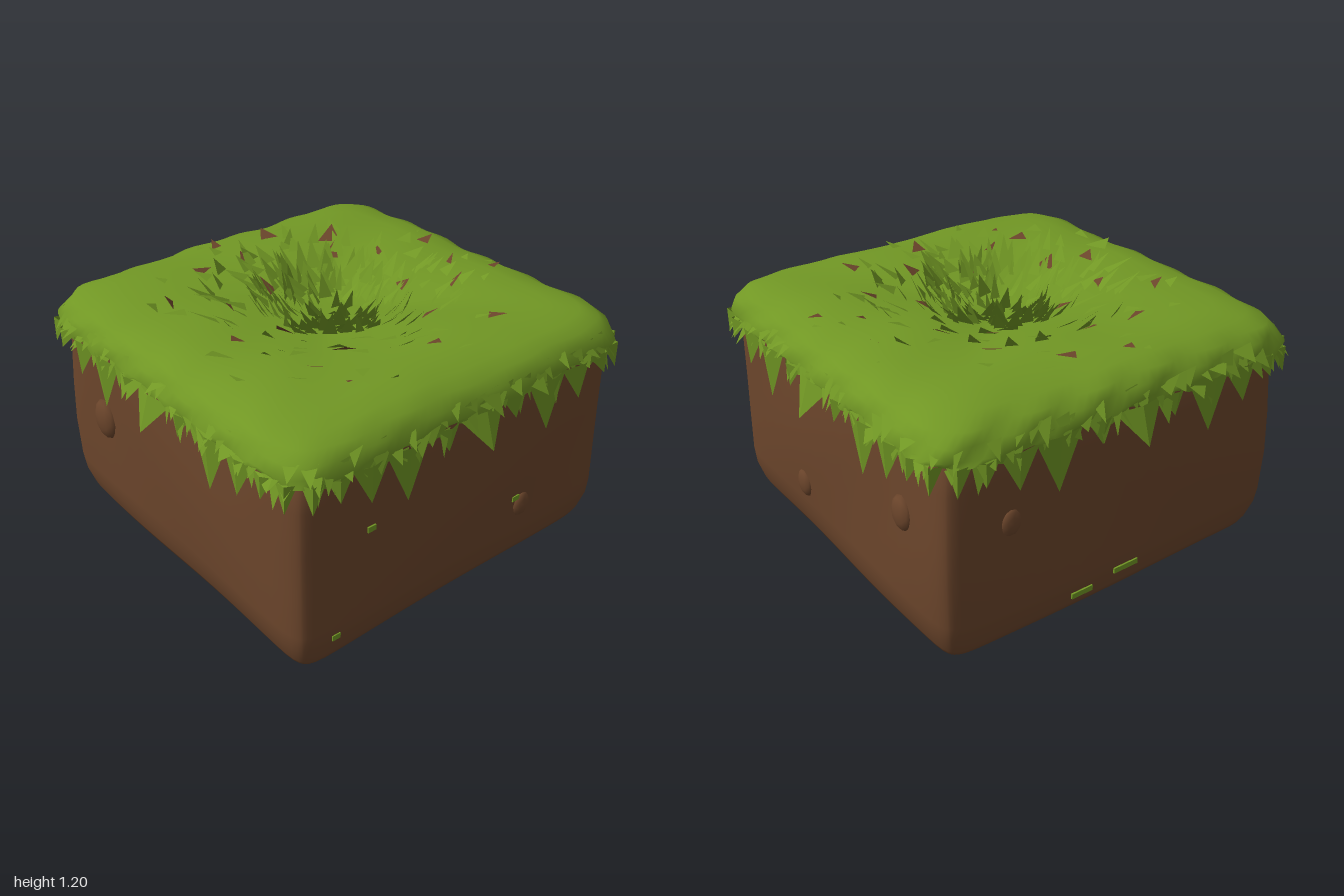
import * as THREE from 'three';

const soilMat = new THREE.MeshStandardMaterial({ name: 'soil brown', color: 0x6b452b });
const grassMat = new THREE.MeshStandardMaterial({ name: 'grass green', color: 0x719724, side: THREE.DoubleSide });
const bareMat = new THREE.MeshStandardMaterial({ name: 'bare soil brown', color: 0x6b452b, side: THREE.DoubleSide });

function seeded(seed) {
  return () => {
    seed = (seed * 1664525 + 1013904223) % 4294967296;
    return seed / 4294967296;
  };
}

// Point on one of four sides of a rounded square; t runs -1..1 along the side
function sidePoint(side, t, r, y, p) {
  const k = r / Math.pow(Math.pow(Math.abs(t), p) + 1, 1 / p);
  return new THREE.Vector3(t * k, y, k).applyAxisAngle(new THREE.Vector3(0, 1, 0), side * Math.PI / 2);
}

function ring(r, y, p, n, dense) {
  const pts = [];
  for (let s = 0; s < 4; s++) for (let i = 0; i < n; i++) {
    const u = -1 + 2 * i / n;
    pts.push(sidePoint(s, dense ? Math.sin(u * Math.PI / 2) : u, r, y, p));
  }
  return pts;
}

// Smooth skin through a stack of closed rings, listed from the bottom up
function loft(rings) {
  const n = rings[0].length, index = [];
  for (let j = 0; j + 1 < rings.length; j++) for (let i = 0; i < n; i++) {
    const a = j * n + i, b = j * n + (i + 1) % n;
    index.push(a, b, b + n, a, b + n, a + n);
  }
  const g = new THREE.BufferGeometry().setFromPoints(rings.flat());
  g.setIndex(index);
  g.computeVertexNormals();
  return g;
}

// Loose triangles, flat shaded
function triangles(points) {
  const g = new THREE.BufferGeometry().setFromPoints(points);
  g.computeVertexNormals();
  return g;
}

const capProfile = [[0.925, 0.925], [0.93, 0.96], [0.91, 1.01], [0.875, 1.05], [0.81, 1.08],
  [0.7, 1.1], [0.55, 1.1], [0.4, 1.09], [0.25, 1.065], [0.12, 1.05], [0.001, 1.045]];

// Height of the turf at a distance from the centre
function turfHeight(r) {
  for (let i = 1; i < capProfile.length; i++) {
    const [r0, y0] = capProfile[i - 1], [r1, y1] = capProfile[i];
    if (r >= r1) return THREE.MathUtils.lerp(y1, y0, Math.min(1, (r - r1) / (r0 - r1)));
  }
  return 1.045;
}

const ripple = (x, z) => 0.007 * Math.sin(9 * x + 2 * z) * Math.cos(8 * z - 3 * x);

function createSoil() {
  const rings = [[0.001, 0.005], [0.8, 0.005], [0.835, 0.02], [0.85, 0.05], [0.872, 0.13], [0.878, 0.2],
    [0.882, 0.4], [0.882, 0.6], [0.875, 0.8], [0.865, 0.92], [0.83, 0.98], [0.001, 1.0]]
    .map(([r, y]) => ring(r, y, 22, 24, true));
  rings.flat().forEach(v => {
    // gentle unevenness of the walls
    const k = 1 + 0.006 * Math.sin(5 * v.x + 7 * v.y + 4 * v.z);
    v.x *= k;
    v.z *= k;
  });
  return loft(rings);
}

function createCap() {
  const rings = capProfile.map(([r, y]) => ring(r, y, 10, 40, false));
  rings.forEach((pts, j) => pts.forEach(v => {
    v.y += ripple(v.x, v.z);
    if (j < 4) {
      // wavy overhanging edge
      const k = 1 + 0.012 * Math.sin(23 * v.x + 3 * j) * Math.cos(21 * v.z + j);
      v.x *= k;
      v.z *= k;
      if (j === 0) v.y += 0.018 * Math.sin(31 * v.x + 27 * v.z);
    }
  }));
  return loft(rings);
}

// Big hanging points: position along side, half width, tip height, tip distance
const teeth = [[0, 0.13, 0.79, 1.0], [0.2, 0.07, 0.84, 0.94], [0.42, 0.12, 0.7, 0.935], [0.62, 0.1, 0.78, 0.94],
  [0.78, 0.07, 0.85, 0.95], [0.92, 0.07, 0.83, 0.95]];

function createFringe() {
  const rnd = seeded(7), pts = [];
  for (let s = 0; s < 4; s++) {
    const at = (t, r, y) => sidePoint(s, THREE.MathUtils.clamp(t, -1, 1), r, y, 10);
    for (const m of [-1, 1]) for (const [t, w, y, out] of teeth) {
      if (t === 0 && m < 0) continue;
      const tip = at(m * t, out, y), mid = at(m * t, 0.95, 0.95);
      pts.push(at(m * t - w, 0.92, 0.94), tip, mid, mid, tip, at(m * t + w, 0.92, 0.94));
    }
    // short ragged blades over the edge
    for (let i = 0; i < 44; i++) {
      const t = -0.98 + 1.96 * (i + rnd()) / 44, y = 0.93 + 0.09 * rnd(), w = 0.025 + 0.04 * rnd();
      const r = 0.925 - 0.3 * Math.max(0, y - 0.95);
      pts.push(at(t - w, r, y), at(t + 0.08 * (rnd() - 0.5), 0.935 + 0.035 * rnd(), y - 0.03 - 0.08 * rnd()),
        at(t + w, r, y + 0.02 * rnd()));
    }
  }
  return triangles(pts);
}

// Blades leaning outward over the turf
function createBlades(seed, count, rMin, rMax, width, lift, reach) {
  const rnd = seeded(seed), pts = [];
  for (let i = 0; i < count; i++) {
    const a = i * 2.39996 + rnd() * 0.5, r = rMin + (rMax - rMin) * Math.sqrt((i + rnd()) / count);
    const c = Math.cos(a), s = Math.sin(a), w = width * (0.5 + rnd());
    const root = new THREE.Vector3(c * r, turfHeight(r) - 0.003, s * r);
    const side = new THREE.Vector3(-s, 0, c).multiplyScalar(w);
    const d = reach * (0.4 + rnd()), skew = (rnd() - 0.5) * reach;
    const tip = new THREE.Vector3(root.x + c * d - s * skew, 0, root.z + s * d + c * skew);
    tip.y = turfHeight(Math.hypot(tip.x, tip.z)) + lift * (0.35 + 0.65 * rnd());
    pts.push(root.clone().sub(side), root.clone().add(side), tip);
  }
  return triangles(pts);
}

// Low faceted clods on the walls: side, position along side, height, size
function createClods(group) {
  [[0, -0.6, 0.55, 0.1], [2, 0.66, 0.6, 0.08], [2, -0.3, 0.3, 0.07], [3, -0.66, 0.6, 0.06], [1, 0.4, 0.3, 0.06]]
    .forEach(([s, t, y, size]) => {
      const clod = new THREE.Mesh(new THREE.IcosahedronGeometry(size, 1), soilMat);
      clod.name = 'soilClod';
      clod.scale.set(0.8, 1, 0.4);
      clod.position.copy(sidePoint(s, t, 0.875, y, 22));
      clod.rotation.y = s * Math.PI / 2;
      group.add(clod);
    });
}

// Thin green flecks on the walls: side, position along side, height, width
function createFlecks(group) {
  [[3, 0.03, 0.135, 0.13], [3, -0.24, 0.105, 0.11], [1, -0.6, 0.6, 0.04], [1, -0.1, 0.4, 0.04],
    [1, 0.35, 0.35, 0.04], [1, -0.8, 0.15, 0.04]].forEach(([s, t, y, w]) => {
    const fleck = new THREE.Mesh(new THREE.BoxGeometry(w, 0.025, 0.008), grassMat);
    fleck.name = 'grassFleck';
    fleck.position.copy(sidePoint(s, t, 0.88, y, 22));
    fleck.rotation.y = s * Math.PI / 2;
    group.add(fleck);
  });
}

export function createModel() {
  const model = new THREE.Group();
  model.name = 'grassBlock';
  const add = (name, geometry, material) => {
    const mesh = new THREE.Mesh(geometry, material);
    mesh.name = name;
    model.add(mesh);
  };
  add('soil', createSoil(), soilMat);
  add('turf', createCap(), grassMat);
  add('hangingFringe', createFringe(), grassMat);
  add('centreTuft', createBlades(11, 150, 0.02, 0.34, 0.03, 0.115, 0.07), grassMat);
  add('middleBlades', createBlades(23, 60, 0.3, 0.55, 0.035, 0.075, 0.09), grassMat);
  add('outerBlades', createBlades(37, 26, 0.5, 0.78, 0.045, 0.045, 0.07), grassMat);
  add('barePatches', createBlades(51, 24, 0.12, 0.75, 0.035, 0.045, 0.085), bareMat);
  createClods(model);
  createFlecks(model);
  return model;
}
